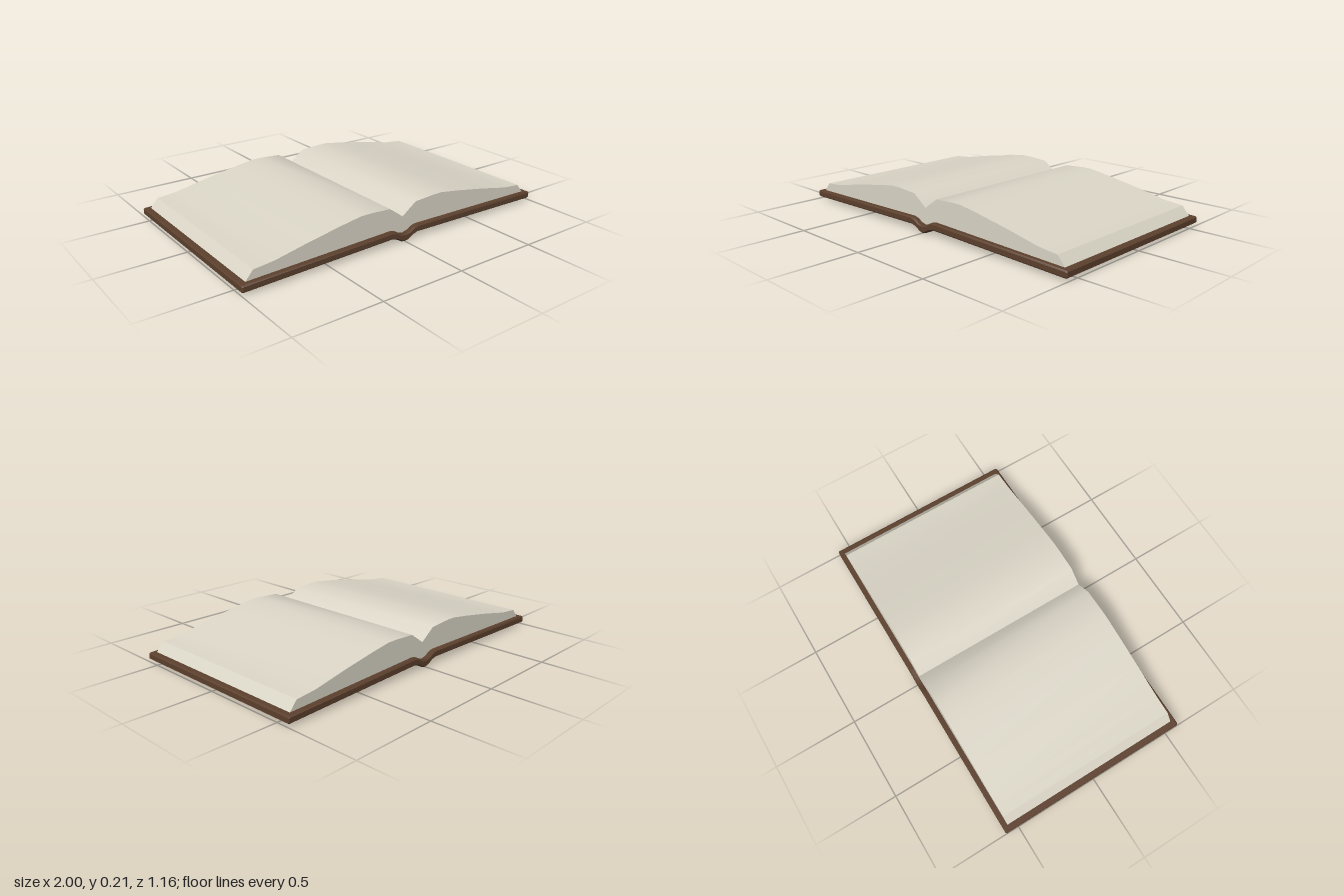
import * as THREE from 'three';
import { toCreasedNormals } from 'three/addons/utils/BufferGeometryUtils.js';

const coverMaterial = new THREE.MeshStandardMaterial({ color: 0x5c402d });
const pageMaterial = new THREE.MeshStandardMaterial({ color: 0xdad5c6 });

// Extrudes an outline along z, centred, with an optional inset chamfer.
function extrudeCentred(points, depth, bevel, crease) {
  const shape = new THREE.Shape(points.map(([x, y]) => new THREE.Vector2(x, y)));
  const geometry = new THREE.ExtrudeGeometry(shape, {
    depth: depth - 2 * bevel,
    bevelEnabled: bevel > 0,
    bevelThickness: bevel,
    bevelSize: bevel,
    bevelOffset: -bevel,
    bevelSegments: 1,
  });
  geometry.translate(0, 0, -depth / 2 + bevel);
  return toCreasedNormals(geometry, crease);
}

// Mirrors the right half of a line (listed from the middle out) to a full line, left to right.
function mirrored(half) {
  const left = half.filter(([x]) => x > 0).map(([x, y]) => [-x, y]).reverse();
  return [...left, ...half];
}

export function createModel() {
  const book = new THREE.Group();
  book.name = 'openBook';

  // Cover: two boards sloping down from a dipped spine
  const coverTop = [[0, 0.045], [0.03, 0.052], [0.06, 0.07], [0.09, 0.077], [0.992, 0.057], [1, 0.051]];
  const coverBottom = [[0, 0.003], [0.025, 0.008], [0.055, 0.026], [0.09, 0.037], [0.992, 0.017], [1, 0.023]];
  const coverOutline = [...mirrored(coverBottom), ...mirrored(coverTop).reverse()];
  const cover = new THREE.Mesh(extrudeCentred(coverOutline, 1.16, 0.007, 0.5), coverMaterial);
  cover.name = 'cover';
  book.add(cover);

  // Page blocks: curved upper surface, slanted fore edge, underside lying on the cover
  const pageOutline = [
    [0, 0.046], [0.03, 0.053], [0.06, 0.071], [0.09, 0.077], [0.965, 0.057],
    [0.92, 0.109], [0.87, 0.113], [0.8, 0.12], [0.6, 0.16], [0.4, 0.195],
    [0.28, 0.213], [0.22, 0.213], [0.09, 0.205], [0, 0.14],
  ];
  for (const [side, name] of [[1, 'leftPages'], [-1, 'rightPages']]) {
    const outline = pageOutline.map(([x, y]) => [side * x, y]);
    const pages = new THREE.Mesh(extrudeCentred(outline, 1.1, 0, 0.65), pageMaterial);
    pages.name = name;
    book.add(pages);
  }

  return book;
}
